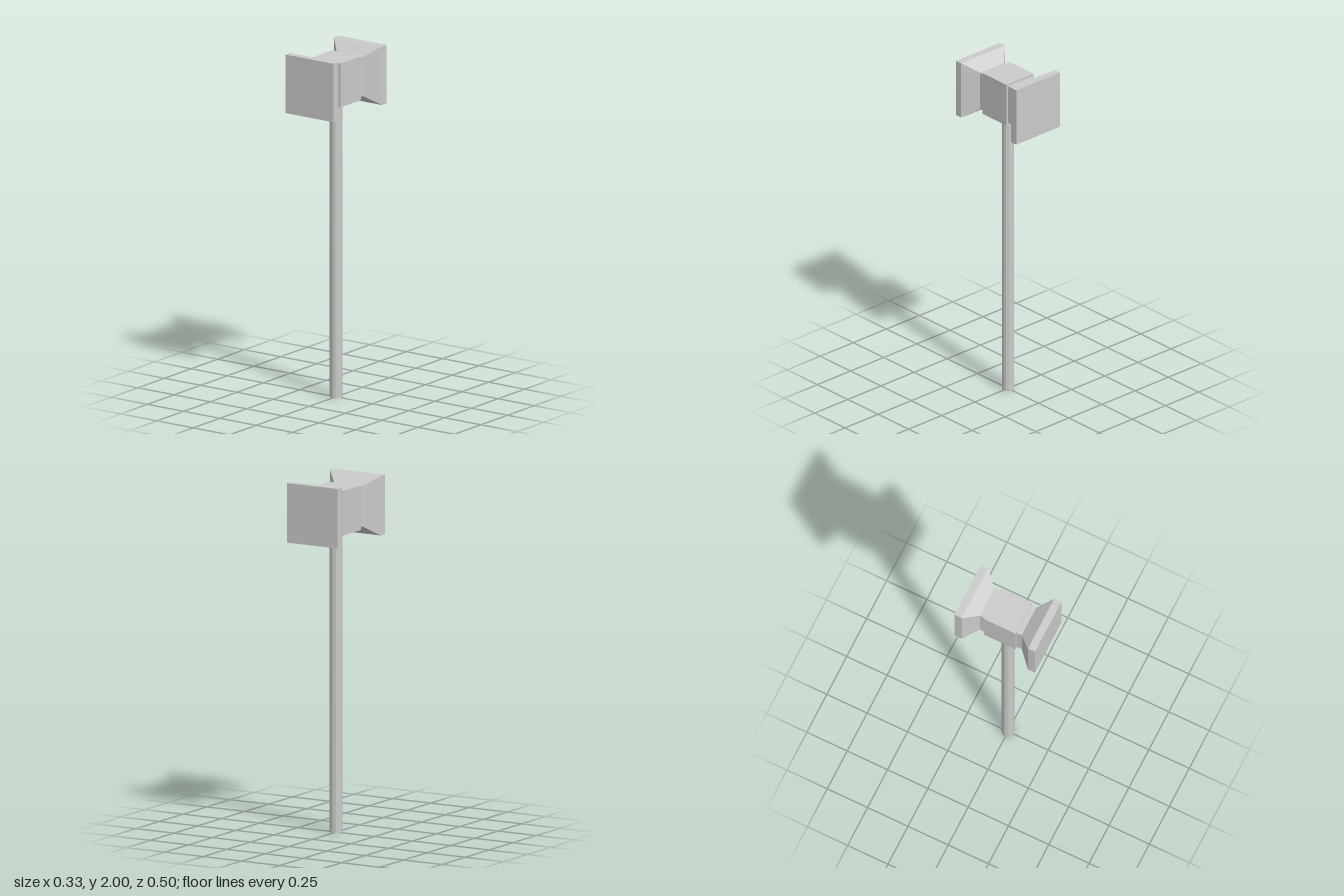
import * as THREE from 'three';

const material = new THREE.MeshStandardMaterial({ color: 0xcccccc, flatShading: true });
const HEAD_Y = 1.831;
const FACE = [0.33, 0.337]; // striking face width, height
const NECK = [0.181, 0.226]; // neck width, height

function addPart(parent, name, geometry, y, z = 0) {
  const mesh = new THREE.Mesh(geometry, material);
  mesh.name = name;
  mesh.position.set(0, y, z);
  parent.add(mesh);
}

// Box whose back end (-z) is narrowed to a second cross-section
function taperedBox(front, back, depth) {
  const geometry = new THREE.BoxGeometry(front[0], front[1], depth);
  const p = geometry.attributes.position;
  for (let i = 0; i < p.count; i++) {
    if (p.getZ(i) < 0) {
      p.setX(i, Math.sign(p.getX(i)) * back[0] / 2);
      p.setY(i, Math.sign(p.getY(i)) * back[1] / 2);
    }
  }
  geometry.computeVertexNormals();
  return geometry;
}

export function createModel() {
  const model = new THREE.Group();
  model.name = 'hammer';

  // Long round handle, ending just inside the head
  addPart(model, 'handle', new THREE.CylinderGeometry(0.035, 0.035, 1.73, 12), 0.865);

  // Central block of the head
  addPart(model, 'headBlock', new THREE.BoxGeometry(0.205, 0.253, 0.195), HEAD_Y);

  // Two mirrored ends: neck, flare and square striking plate
  for (const side of ['front', 'back']) {
    const end = new THREE.Group();
    end.name = side + 'HammerEnd';
    end.position.y = HEAD_Y;
    if (side === 'back') end.rotation.y = Math.PI;
    addPart(end, 'neck', new THREE.BoxGeometry(...NECK, 0.05), 0, 0.105);
    addPart(end, 'flare', taperedBox(FACE, NECK, 0.075), 0, 0.1675);
    addPart(end, 'strikingPlate', new THREE.BoxGeometry(...FACE, 0.044), 0, 0.227);
    model.add(end);
  }
  return model;
}
